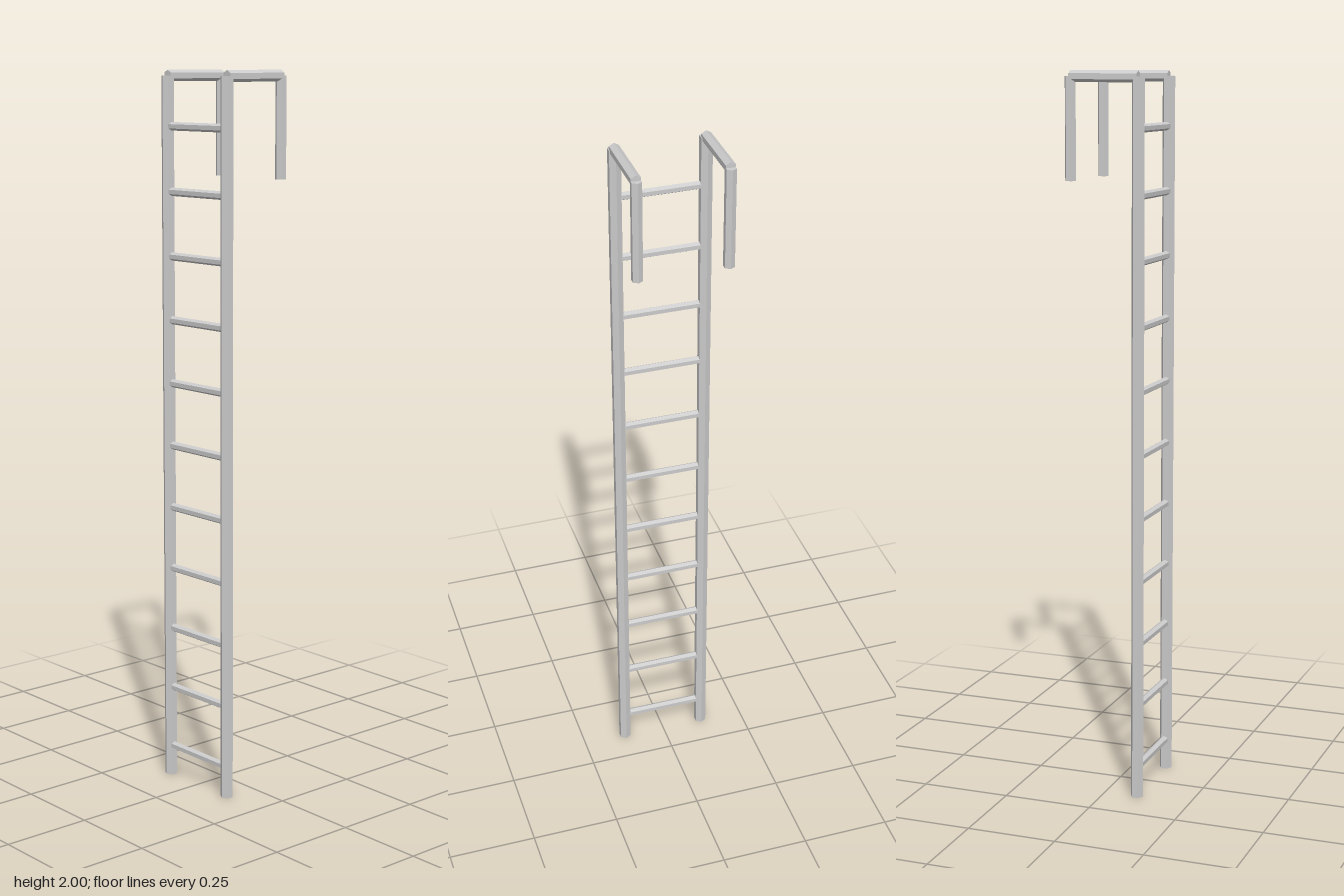
import * as THREE from 'three';

const material = new THREE.MeshStandardMaterial({ color: 0xcccccc, flatShading: true });

// Hexagonal rod along y, with corners facing +z and -z
const rod = (radius, length) => new THREE.CylinderGeometry(radius, radius, length, 6);

export function createModel() {
  const group = new THREE.Group();
  const add = (name, geometry, x, y, z) => {
    const mesh = new THREE.Mesh(geometry, material);
    mesh.name = name;
    mesh.position.set(x, y, z);
    group.add(mesh);
  };

  const railX = 0.122, railZ = 0.0945, hookZ = -0.0975, topY = 1.9845;
  const hookRadius = 0.0155, hookDrop = 0.275;

  for (const [side, s] of [['left', 1], ['right', -1]]) {
    // Upright rail
    add(side + 'Rail', rod(0.018, topY), s * railX, topY / 2, railZ);
    // Hook: arm reaching back, then a bar hanging down
    add(side + 'HookArm', rod(hookRadius, railZ - hookZ).rotateX(Math.PI / 2),
      s * railX, topY, (railZ + hookZ) / 2);
    add(side + 'HookDrop', rod(hookRadius, hookDrop), s * railX, topY - hookDrop / 2, hookZ);
  }

  // Rungs, with corners facing up and down
  const rungGeometry = rod(0.0115, railX * 2).rotateY(Math.PI / 6).rotateZ(Math.PI / 2);
  for (let i = 0; i < 11; i++) {
    add('rung' + (i + 1), rungGeometry, 0, 0.0875 + i * 0.1762, railZ);
  }
  return group;
}
